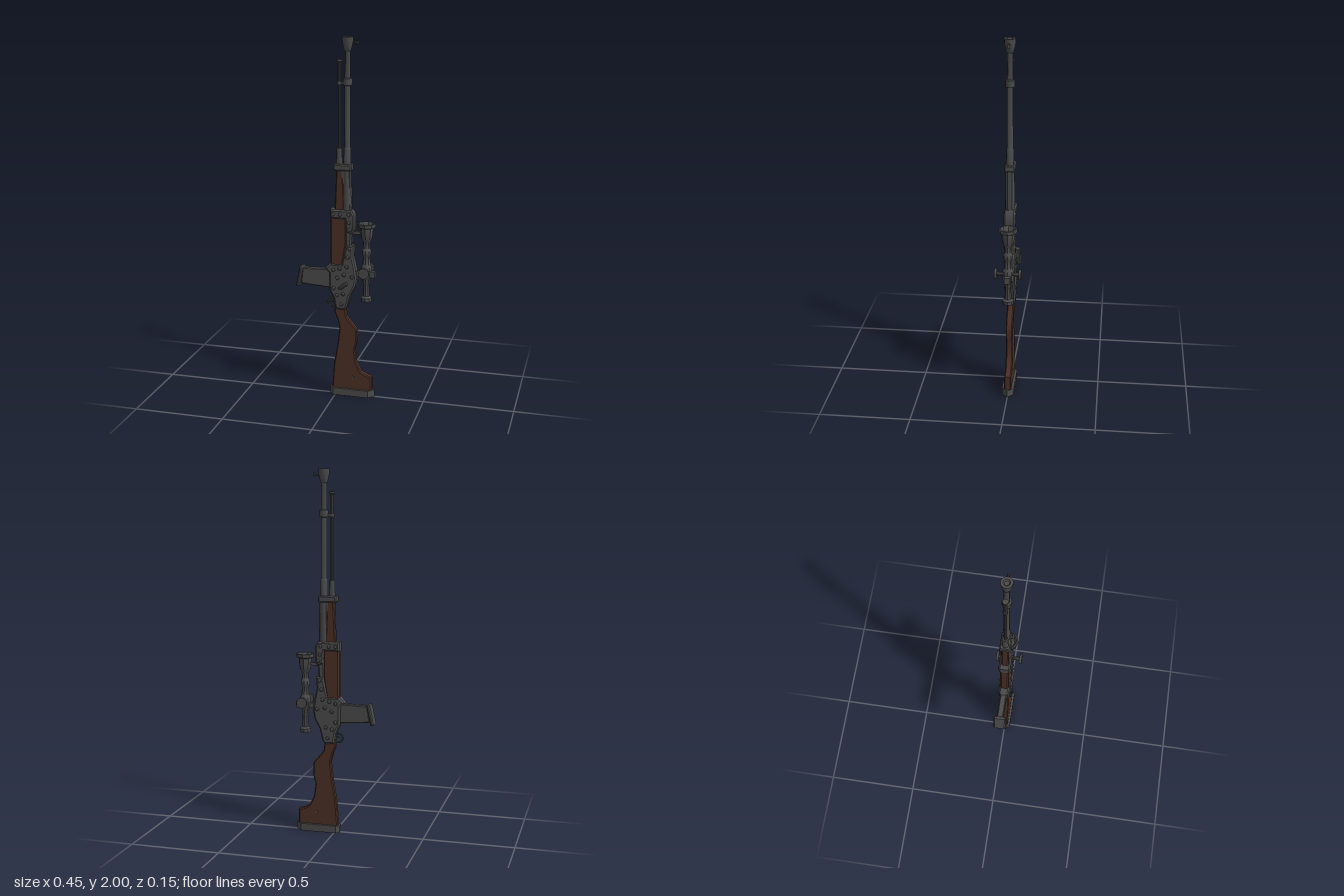
import * as THREE from 'three';
import { toCreasedNormals } from 'three/addons/utils/BufferGeometryUtils.js';

export function createModel() {
  const model = new THREE.Group();
  const metal = new THREE.MeshStandardMaterial({ color: 0x4b4b4b });
  metal.name = 'gunmetal';
  const wood = new THREE.MeshStandardMaterial({ color: 0x4a3026 });
  wood.name = 'walnut';

  function add(name, geometry, material, x = 0, y = 0, z = 0, parent = model) {
    const mesh = new THREE.Mesh(toCreasedNormals(geometry, 0.7), material);
    mesh.name = name;
    mesh.position.set(x, y, z);
    parent.add(mesh);
    return mesh;
  }
  // Side outline extruded evenly about z = 0, with chamfered rims
  function slab(name, points, half, material, bevel = 0.008, smooth = false) {
    const v = points.map(([x, y]) => new THREE.Vector2(x, y));
    const shape = new THREE.Shape(smooth ? new THREE.CatmullRomCurve3(
      v.map(p => new THREE.Vector3(p.x, p.y, 0)), true, 'centripetal').getPoints(60)
      .slice(0, -1).map(p => new THREE.Vector2(p.x, p.y)) : v);
    const g = new THREE.ExtrudeGeometry(shape, {
      depth: 2 * (half - bevel), bevelEnabled: true, bevelSegments: 1,
      bevelSize: bevel, bevelOffset: -bevel, bevelThickness: bevel,
    });
    g.translate(0, 0, -(half - bevel));
    return add(name, g, material);
  }
  // Turned part given as [radius, height] pairs from bottom to top
  function turned(name, profile, x, sides = 12, material = metal) {
    return add(name, new THREE.LatheGeometry(profile.map(([r, y]) => new THREE.Vector2(r, y)), sides), material, x);
  }

  // Shoulder stock
  slab('stock', [
    [-0.02, 0.03], [0.207, 0.03], [0.206, 0.12], [0.175, 0.128], [0.145, 0.145], [0.118, 0.2],
    [0.108, 0.27], [0.121, 0.32], [0.12, 0.395], [0.09, 0.43], [0.062, 0.465], [0.052, 0.54],
    [0.0, 0.54], [-0.008, 0.49], [0.008, 0.455], [0.022, 0.4], [0.012, 0.31], [-0.01, 0.175],
  ], 0.019, wood, 0.006);
  // Butt plate with pointed ends
  const butt = new THREE.Shape([[-0.03, -0.016], [-0.012, -0.033], [0.19, -0.033], [0.222, 0],
    [0.19, 0.033], [-0.012, 0.033], [-0.03, 0.016]].map(([x, z]) => new THREE.Vector2(x, z)));
  const buttGeometry = new THREE.ExtrudeGeometry(butt, { depth: 0.04, bevelEnabled: false });
  buttGeometry.rotateX(-Math.PI / 2);
  add('buttPlate', buttGeometry, metal);

  // Receiver body and its upper rail
  slab('receiver', [
    [-0.06, 0.74], [-0.03, 0.77], [0.035, 0.77], [0.06, 0.88], [0.1, 0.88], [0.098, 0.81],
    [0.108, 0.77], [0.12, 0.7], [0.112, 0.645], [0.082, 0.59], [0.065, 0.52], [0.045, 0.505],
    [0.0, 0.51], [-0.01, 0.57], [-0.035, 0.62], [-0.035, 0.715],
  ], 0.029, metal, 0.009);
  slab('upperRail', [[0.055, 0.84], [0.085, 0.84], [0.092, 0.95], [0.1, 1.0], [0.055, 1.0]], 0.024, metal);
  slab('frontBracket', [
    [-0.03, 1.025], [0.055, 1.025], [0.06, 0.955], [0.09, 0.94], [0.105, 0.96], [0.105, 1.05],
    [0.09, 1.075], [-0.03, 1.075],
  ], 0.031, metal, 0.008);

  // Wooden forearm and upper hand guard
  slab('forearm', [[-0.03, 0.75], [0.04, 0.75], [0.062, 0.88], [0.062, 1.04], [-0.028, 1.04]], 0.024, wood);
  slab('handGuard', [[-0.006, 1.06], [0.05, 1.06], [0.04, 1.3], [0.003, 1.3]], 0.019, wood, 0.006);
  turned('handGuardTip', [[0, 1.3], [0.018, 1.3], [0.015, 1.41], [0, 1.41]], 0.016, 12, metal);

  // Barrel, flared muzzle and front sight
  turned('barrel', [
    [0, 1.04], [0.027, 1.04], [0.024, 1.3], [0.021, 1.3], [0.02, 1.41], [0.017, 1.415],
    [0.016, 1.745], [0.025, 1.748], [0.025, 1.783], [0.016, 1.786], [0.015, 1.925],
    [0.02, 1.93], [0.029, 1.97], [0.031, 2], [0.018, 2], [0.012, 1.99], [0, 1.99],
  ], 0.061);
  slab('barrelShroud', [[0.04, 1.06], [0.087, 1.06], [0.084, 1.3], [0.024, 1.3], [0.034, 1.22]], 0.019, metal, 0.007);
  const sight = add('frontSightPost', new THREE.CylinderGeometry(0.005, 0.005, 0.032, 8), metal, 0.101, 1.97);
  sight.rotation.z = Math.PI / 2;
  add('frontSightBlade', new THREE.BoxGeometry(0.007, 0.022, 0.012), metal, 0.115, 1.97);

  // Thin rod beside the barrel, tied by two bands
  turned('cleaningRod', [
    [0, 1.3], [0.008, 1.3], [0.008, 1.745], [0.013, 1.748], [0.013, 1.765], [0.009, 1.768],
    [0.009, 1.865], [0.015, 1.87], [0.015, 1.882], [0, 1.882],
  ], 0.016, 10);
  add('rodLink', new THREE.BoxGeometry(0.04, 0.016, 0.012), metal, 0.035, 1.757);
  slab('barrelBand', [[-0.012, 1.295], [-0.007, 1.29], [0.084, 1.29], [0.089, 1.295],
    [0.089, 1.32], [0.084, 1.325], [-0.007, 1.325], [-0.012, 1.32]], 0.029, metal, 0.006);

  // Magazine with a tilted floor plate
  slab('magazine', [[-0.2, 0.638], [-0.02, 0.625], [-0.02, 0.735], [-0.19, 0.73]], 0.018, metal, 0.005);
  slab('magazineFloor', [[-0.225, 0.628], [-0.207, 0.624], [-0.184, 0.728], [-0.19, 0.738], [-0.203, 0.736]],
    0.034, metal, 0.006);

  // Trigger ring and trigger
  add('triggerGuard', new THREE.TorusGeometry(0.025, 0.006, 6, 16), metal, -0.02, 0.54);
  const trigger = add('trigger', new THREE.BoxGeometry(0.026, 0.006, 0.008), metal, -0.014, 0.545);
  trigger.rotation.z = 0.4;

  // Telescopic sight with a hollow front bell
  turned('scope', [
    [0, 0.572], [0.022, 0.565], [0.03, 0.562], [0.031, 0.582], [0.019, 0.592], [0.016, 0.66],
    [0.021, 0.668], [0.021, 0.69], [0.029, 0.7], [0.029, 0.76], [0.022, 0.772], [0.02, 0.82],
    [0.026, 0.83], [0.026, 0.852], [0.018, 0.865], [0.02, 0.9], [0.029, 0.915], [0.035, 0.945],
    [0.037, 0.978], [0.05, 0.984], [0.05, 1.002], [0.042, 1.004], [0.03, 0.975], [0, 0.965],
  ], 0.17, 8);
  for (const side of [1, -1]) {
    const stem = add('turretStem', new THREE.CylinderGeometry(0.011, 0.011, 0.05, 8), metal, 0.17, 0.738, side * 0.042);
    stem.rotation.x = Math.PI / 2;
    const knob = add('turretKnob', new THREE.CylinderGeometry(0.03, 0.03, 0.014, 10), metal, 0.17, 0.738, side * 0.066);
    knob.rotation.x = Math.PI / 2;
  }
  add('elevationKnob', new THREE.BoxGeometry(0.03, 0.036, 0.032), metal, 0.205, 0.718);
  add('rearScopeMount', new THREE.BoxGeometry(0.06, 0.03, 0.026), metal, 0.128, 0.715);
  add('frontScopeMount', new THREE.BoxGeometry(0.055, 0.016, 0.02), metal, 0.118, 0.948);

  // Domed rivets on both sides
  const rivets = [
    [-0.01, 1.05], [0.027, 1.05], [0.075, 1.05], [0.078, 1.005], [0.085, 0.97], [0.08, 0.86], [0.07, 0.81],
    [0.025, 0.745], [0.065, 0.755], [0.012, 0.69], [0.05, 0.71], [0.095, 0.7], [-0.01, 0.63],
    [0.01, 0.59], [0.045, 0.6], [0.035, 0.54], [-0.01, 0.735],
  ];
  for (const side of [1, -1]) {
    for (const [x, y] of rivets) {
      const rivet = add('rivet', new THREE.SphereGeometry(0.011, 8, 6), metal, x, y, side * 0.029);
      rivet.scale.z = 0.6;
    }
    const screw = add('stockScrew', new THREE.CylinderGeometry(0.007, 0.007, 0.006, 8), metal, 0.1, 0.11, side * 0.019);
    screw.rotation.x = Math.PI / 2;
  }

  // Bolt lever on the front face
  const lever = add('boltLever', new THREE.CapsuleGeometry(0.01, 0.045, 3, 8), metal, 0.045, 0.645, 0.03);
  lever.rotation.z = -0.9;
  return model;
}
